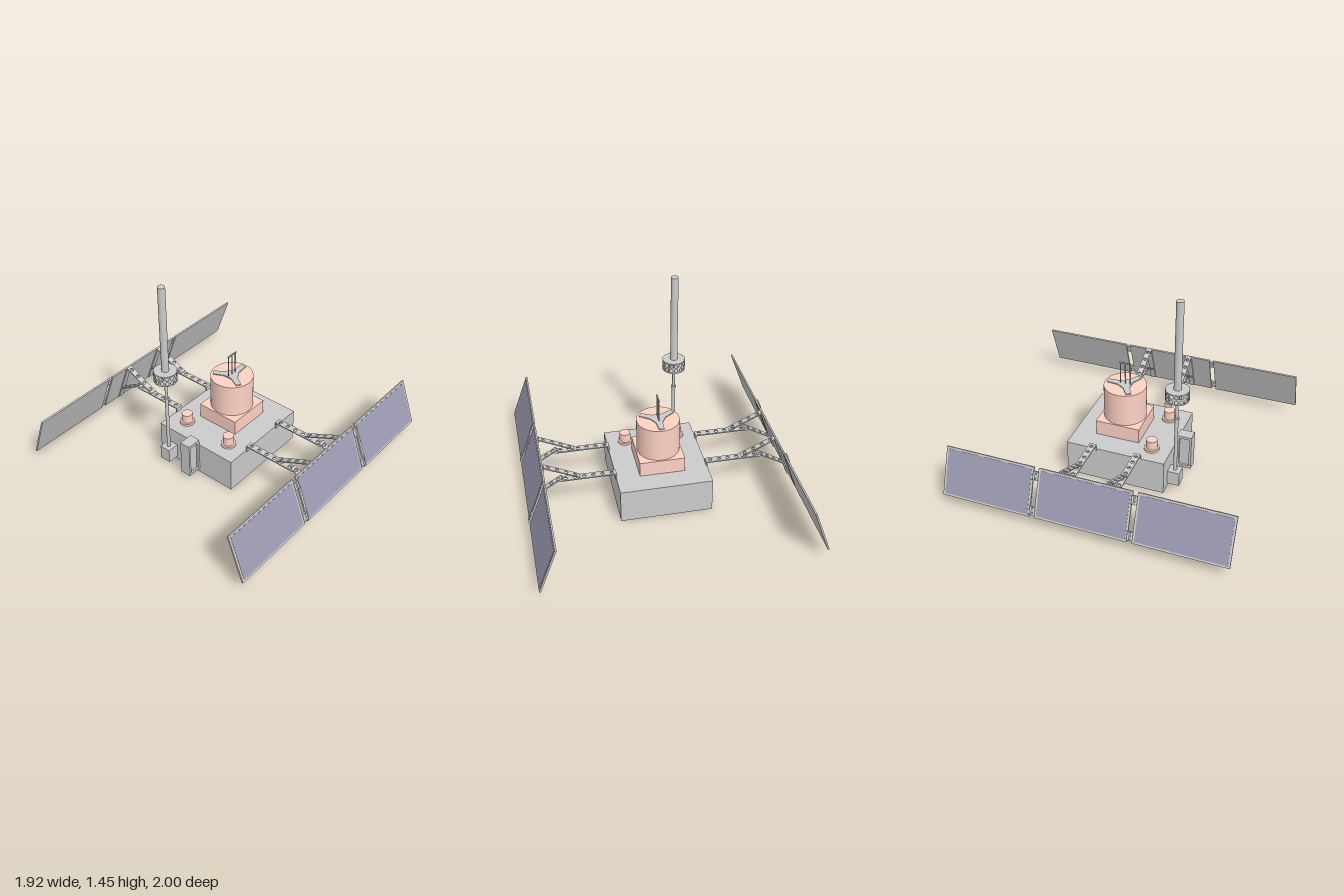
import * as THREE from 'three';

const grey = new THREE.MeshStandardMaterial({ color: 0xcccccc });
const pink = new THREE.MeshStandardMaterial({ color: 0xffd2c4 });
const violet = new THREE.MeshStandardMaterial({ color: 0x9d9ab2 });

function add(parent, name, geo, x = 0, y = 0, z = 0, mat = grey) {
  const m = new THREE.Mesh(geo, mat);
  m.name = name;
  m.position.set(x, y, z);
  parent.add(m);
  return m;
}
const box = (w, h, d) => new THREE.BoxGeometry(w, h, d);
const cyl = (r, h, n = 32) => new THREE.CylinderGeometry(r, r, h, n);

function group(parent, name) {
  const g = new THREE.Group();
  g.name = name;
  parent.add(g);
  return g;
}

// Flat plate centred on the origin with round holes given as [x, y, radius]
function plate(w, h, t, holes) {
  const s = new THREE.Shape();
  s.moveTo(-w / 2, -h / 2).lineTo(w / 2, -h / 2).lineTo(w / 2, h / 2).lineTo(-w / 2, h / 2).closePath();
  for (const [x, y, r] of holes) {
    const p = new THREE.Path();
    p.absarc(x, y, r, 0, Math.PI * 2, true);
    s.holes.push(p);
  }
  return new THREE.ExtrudeGeometry(s, { depth: t, bevelEnabled: false, curveSegments: 8 })
    .translate(0, 0, -t / 2);
}

// Perforated beam running from (x0, y0) to (x1, y1) at depth z
function beam(parent, name, x0, y0, x1, y1, z, width, t) {
  const len = Math.hypot(x1 - x0, y1 - y0);
  const n = Math.floor(len / 0.055);
  const holes = Array.from({ length: n }, (_, i) => [((i + 0.5) / n - 0.5) * len, 0, 0.013]);
  const geo = plate(len, width, t, holes)
    .rotateX(-Math.PI / 2)
    .rotateZ(Math.atan2(y1 - y0, x1 - x0));
  add(parent, name, geo, (x0 + x1) / 2, (y0 + y1) / 2, z);
}

// Three hinged solar panels and the two arms that carry them
function solarWing() {
  const wing = new THREE.Group();
  const array = group(wing, 'solarArray');
  array.position.set(0.888, 0.24, 0);
  array.rotation.z = 0.349;
  for (const [z, len] of [[-0.679, 0.642], [0, 0.65], [0.679, 0.642]]) {
    add(array, 'panelFrame', box(0.012, 0.345, len), 0, 0, z);
    add(array, 'solarCells', box(0.003, 0.317, len - 0.03), 0.006, 0, z, violet);
  }
  for (const z of [-0.341, 0.341]) {
    for (const y of [-0.125, 0.118]) {
      add(array, 'panelHinge', box(0.014, 0.06, 0.024), 0.006, y, z);
      for (const s of [-1, 1])
        add(array, 'hingePin', cyl(0.008, 0.06, 10), 0.011, y, z + s * 0.012);
    }
  }
  for (const z of [-0.163, 0.163]) {
    const arm = group(wing, 'panelArm');
    add(arm, 'armFoot', box(0.01, 0.05, 0.05), 0.325, 0.258, z);
    beam(arm, 'armBeam', 0.32, 0.279, 0.705, 0.279, z, 0.05, 0.009);
    beam(arm, 'upperStrut', 0.575, 0.288, 0.82, 0.405, z, 0.044, 0.008);
    beam(arm, 'lowerStrut', 0.7, 0.296, 0.895, 0.18, z, 0.044, 0.008);
    add(arm, 'elbowPin', cyl(0.012, 0.052, 12).rotateX(Math.PI / 2), 0.705, 0.285, z);
    add(array, 'panelStringer', box(0.01, 0.33, 0.04), -0.01, 0, z);
  }
  return wing;
}

// Three-armed plate that caps the drum
function spiderPlate() {
  const s = new THREE.Shape();
  for (let i = 0; i < 3; i++) {
    const a = Math.PI / 2 + i * Math.PI * 2 / 3;
    const c = Math.cos(a), d = Math.sin(a);
    const pts = [[0.05, -0.024], [0.132, -0.018], [0.132, 0.018], [0.05, 0.024]];
    pts.forEach(([r, w], k) => {
      const x = r * c - w * d, y = r * d + w * c;
      if (i + k === 0) s.moveTo(x, y); else s.lineTo(x, y);
    });
  }
  s.closePath();
  return new THREE.ExtrudeGeometry(s, { depth: 0.008, bevelEnabled: false }).rotateX(-Math.PI / 2);
}

export function createModel() {
  const model = new THREE.Group();
  model.name = 'lander';

  // Body
  add(model, 'body', box(0.65, 0.25, 0.715), 0, 0.125, -0.0025);

  // Drum on its square base
  const drum = group(model, 'drum');
  drum.position.z = -0.047;
  add(drum, 'drumBase', box(0.32, 0.11, 0.32), 0, 0.305, 0, pink);
  add(drum, 'drumShell', cyl(0.151, 0.245, 48), 0, 0.4825, 0, pink);
  add(drum, 'spiderPlate', spiderPlate(), 0, 0.604, 0);
  for (const z of [-0.035, 0, 0.037])
    add(drum, 'antennaRod', cyl(0.004, 0.17, 8), 0, 0.692, z);
  add(drum, 'antennaBar', box(0.008, 0.009, 0.085), 0, 0.776, 0);

  // Small turrets
  for (const x of [-0.19, 0.19]) {
    const turret = group(model, 'turret');
    add(turret, 'turretFlange', cyl(0.053, 0.016), x, 0.258, 0.22, pink);
    add(turret, 'turretBody', cyl(0.039, 0.075), x, 0.292, 0.22, pink);
  }

  // Front equipment column: a frame open at the sides around a narrower core
  const column = group(model, 'frontColumn');
  for (const y of [0.04, 0.285])
    add(column, 'columnCap', box(0.08, 0.02, 0.105), 0, y, 0.4075);
  for (const z of [0.363, 0.452])
    add(column, 'columnWall', box(0.08, 0.265, 0.016), 0, 0.1625, z);
  add(column, 'columnCore', box(0.05, 0.23, 0.08), 0, 0.1625, 0.4075);

  // Mast
  const mast = group(model, 'mast');
  mast.position.set(-0.21, 0, 0.4);
  add(mast, 'mastFoot', box(0.082, 0.105, 0.085), 0, 0.0825, 0);
  add(mast, 'lowerRod', cyl(0.0125, 0.43, 20), 0, 0.345, 0);
  add(mast, 'rodCollar', cyl(0.019, 0.014, 20), 0, 0.562, 0);
  add(mast, 'upperRod', cyl(0.01, 0.17, 20), 0, 0.64, 0);
  add(mast, 'antennaTube', cyl(0.026, 0.73, 28), 0, 1.085, 0);

  // Perforated ring on the mast
  const ring = group(mast, 'perforatedRing');
  const sides = 14, r = 0.078;
  const facet = plate(2 * r * Math.tan(Math.PI / sides), 0.08, 0.004, [[0, -0.019, 0.013], [0, 0.019, 0.013]]);
  for (let i = 0; i < sides; i++) {
    const a = i * Math.PI * 2 / sides;
    add(ring, 'ringFacet', facet, Math.sin(a) * r, 0.76, Math.cos(a) * r).rotation.y = a;
  }
  for (const y of [0.723, 0.797])
    add(ring, 'ringPlate', cyl(0.079, 0.006, sides), 0, y, 0);

  // Solar wings on both sides
  const left = solarWing();
  left.name = 'leftWing';
  const right = solarWing();
  right.name = 'rightWing';
  right.rotation.y = Math.PI;
  model.add(left, right);
  return model;
}
